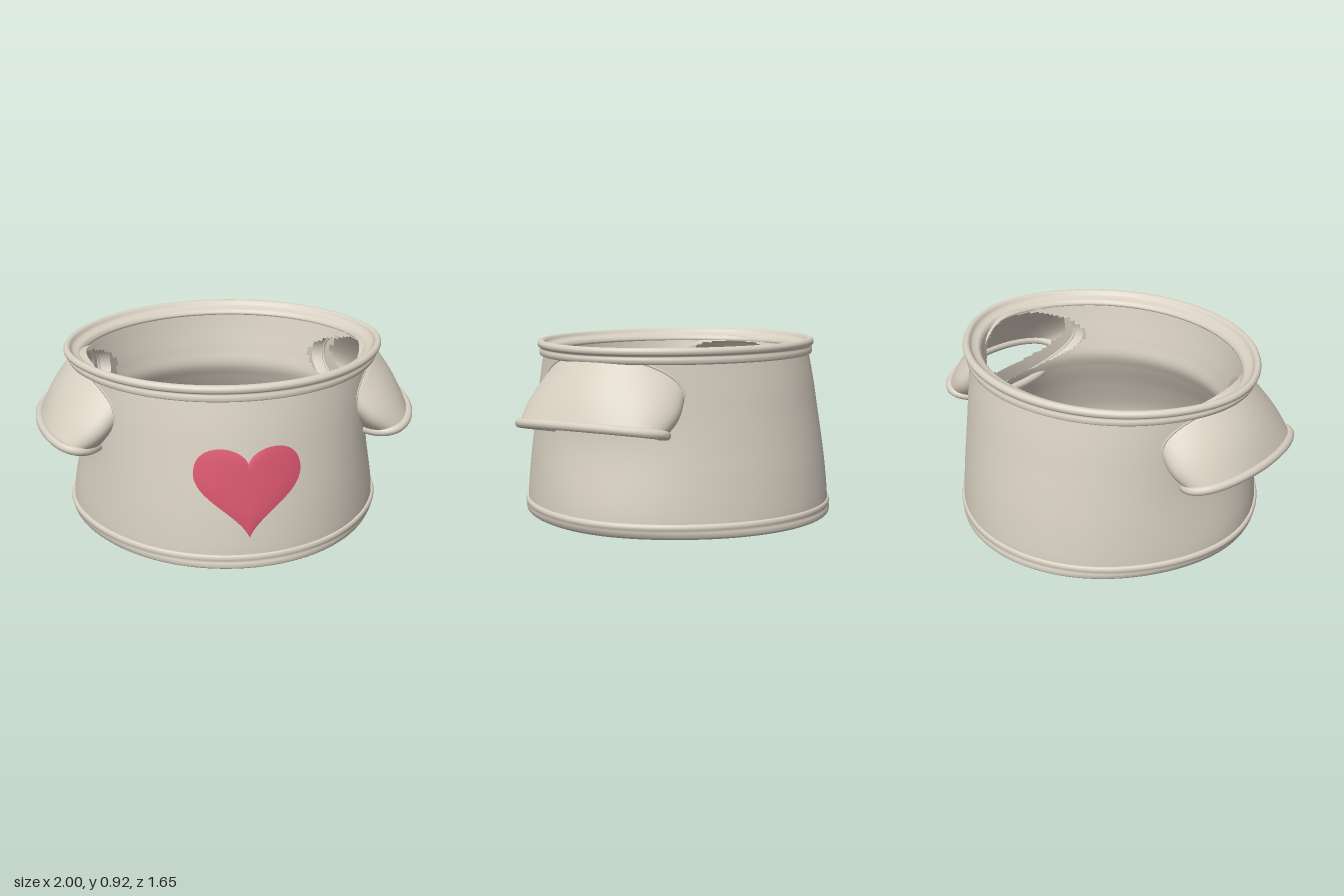
import * as THREE from 'three';

const cloth = new THREE.MeshStandardMaterial({ color: 0xd8d0c2, side: THREE.DoubleSide });
cloth.name = 'stone cloth';
const red = new THREE.MeshStandardMaterial({ color: 0xd9566e, side: THREE.DoubleSide });
red.name = 'heart red';

const SEG = 144;
const V = (x, y, z) => new THREE.Vector3(x, y, z);

// Skin a list of closed rings; cells whose centre passes skip() are left open
function loft(rings, skip = () => false) {
  const n = rings[0].length, index = [];
  for (let r = 0; r < rings.length - 1; r++) {
    for (let i = 0; i < n; i++) {
      const j = (i + 1) % n;
      const c = rings[r][i].clone().add(rings[r + 1][j]).multiplyScalar(0.5);
      if (skip(c)) continue;
      const a = r * n + i, b = r * n + j, d = a + n, e = b + n;
      index.push(a, b, d, b, e, d);
    }
  }
  const g = new THREE.BufferGeometry().setFromPoints(rings.flat());
  g.setIndex(index);
  g.computeVertexNormals();
  return g;
}

// The cloth is pinched in under the sleeves and pulled out at collar and hem
const pull = (y) => 0.006 + 0.028 * Math.cos((Math.PI * (y - 0.05)) / 0.44);
const sideX = (s, rx, y) => s * rx * (1 + pull(y) * s ** 8);

// Ring around the y axis
function ring(rx, y, rz) {
  return Array.from({ length: SEG }, (_, i) => {
    const a = (i / SEG) * Math.PI * 2;
    return V(sideX(Math.sin(a), rx, y), y, rz * Math.cos(a));
  });
}

// Sweep a smooth profile of [rx, y, rz] points round the y axis
function sweep(profile, steps, skip, closed = false) {
  const curve = new THREE.CatmullRomCurve3(profile.map((p) => V(...p)), closed);
  return loft(curve.getPoints(steps).map((p) => ring(p.x, p.y, p.z)), skip);
}

// Outer wall profile, and the wall's half-widths at a given height
const WALL = [
  [0.79, 0.03, 0.815], [0.788, 0.12, 0.81], [0.782, 0.28, 0.792], [0.776, 0.42, 0.77],
  [0.772, 0.55, 0.747], [0.768, 0.7, 0.72], [0.765, 0.89, 0.677],
];
function wallAt(y) {
  let k = 0;
  while (k < WALL.length - 2 && WALL[k + 1][1] < y) k++;
  const [a, b] = [WALL[k], WALL[k + 1]];
  const t = THREE.MathUtils.clamp((y - a[1]) / (b[1] - a[1]), 0, 1);
  return [a[0] + (b[0] - a[0]) * t, a[2] + (b[2] - a[2]) * t];
}

const armhole = (c) =>
  Math.abs(c.x) > 0.4 && ((c.z - 0.02) / 0.37) ** 2 + ((c.y - 0.705) / 0.155) ** 2 < 1;

// Cuff edge: a tilted ellipse; t = 0 is the outer side
const cuffPoint = (t) =>
  V(0.805 + 0.172 * Math.cos(t), 0.525 + 0.036 * Math.cos(t), 0.032 + 0.405 * Math.sin(t));

// Seam where the sleeve joins the wall, set in by a small depth
function seamPoint(t, depth) {
  const y = 0.69 + 0.195 * Math.cos(t), z = 0.02 + 0.41 * Math.sin(t);
  const [rx, rz] = wallAt(y);
  const x = sideX(Math.sqrt(1 - (z / rz) ** 2), rx, y);
  return V(x - depth - 0.05 * Math.max(0, -Math.cos(t)), y, z);
}

function sleeveGeometry() {
  const N = 80, rings = [];
  const ts = Array.from({ length: N }, (_, i) => (i / N) * Math.PI * 2);
  rings.push(ts.map((t) => seamPoint(t, 0.07)));
  for (let s = 0; s <= 12; s++) {
    const u = s / 12;
    rings.push(ts.map((t) => {
      const p = seamPoint(t, 0.006).lerp(cuffPoint(t), u);
      const bulge = 0.02 * Math.sin(u * Math.PI);
      p.x += bulge * Math.max(0, Math.cos(t));
      p.z += bulge * Math.sin(t);
      return p;
    }));
  }
  return loft(rings);
}

// Heart plate laid on the curved front
function heartGeometry() {
  const outline = new THREE.Shape();
  outline.moveTo(0, 0.54);
  outline.bezierCurveTo(0.04, 0.64, 0.27, 0.66, 0.265, 0.48);
  outline.bezierCurveTo(0.255, 0.36, 0.06, 0.3, 0, 0.17);
  outline.bezierCurveTo(-0.06, 0.3, -0.255, 0.36, -0.265, 0.48);
  outline.bezierCurveTo(-0.27, 0.66, -0.04, 0.64, 0, 0.54);
  const pts = outline.getPoints(20).slice(0, -1).reverse();
  const rings = [];
  for (let s = 10; s >= 0; s--) {
    const u = s / 10;
    rings.push(pts.map((p) => {
      const x = p.x * u, y = 0.43 + (p.y - 0.43) * u;
      const [rx, rz] = wallAt(y);
      return V(x, y, rz * Math.sqrt(1 - (x / rx) ** 2) + 0.003 + 0.006 * (1 - u ** 6));
    }));
  }
  return loft(rings);
}

export function createModel() {
  const model = new THREE.Group();
  model.name = 'shirt';
  const add = (name, geometry, material, parent = model) => {
    const mesh = new THREE.Mesh(geometry, material);
    mesh.name = name;
    parent.add(mesh);
  };

  // Outer wall and lining, both open at the armholes
  add('body', sweep(WALL, 72, armhole), cloth);
  add('lining', sweep([
    [0.725, 0.87, 0.612], [0.7, 0.78, 0.598], [0.668, 0.66, 0.576], [0.65, 0.57, 0.566],
    [0.668, 0.48, 0.605], [0.715, 0.32, 0.69], [0.755, 0.14, 0.768], [0.762, 0.05, 0.78],
  ], 72, armhole), cloth);

  // Collar: two outer rolls, a thin rim and a sloping inner band
  add('collar', sweep([
    [0.765, 0.842, 0.69], [0.785, 0.846, 0.703], [0.792, 0.864, 0.705], [0.788, 0.882, 0.7],
    [0.806, 0.892, 0.708], [0.81, 0.908, 0.71], [0.8, 0.923, 0.698], [0.782, 0.921, 0.676],
    [0.768, 0.902, 0.66], [0.752, 0.893, 0.64], [0.732, 0.885, 0.617], [0.72, 0.865, 0.606],
    [0.728, 0.848, 0.625],
  ], 64, undefined, true), cloth);

  // Hem: a softly rolled band
  add('hem', sweep([
    [0.785, 0.08, 0.80], [0.8, 0.077, 0.818], [0.805, 0.063, 0.823], [0.8, 0.046, 0.821],
    [0.796, 0.03, 0.825], [0.785, 0.01, 0.822], [0.77, 0.002, 0.80], [0.755, 0.015, 0.78],
    [0.755, 0.05, 0.775], [0.768, 0.075, 0.785],
  ], 56, undefined, true), cloth);

  // Sleeves with rolled cuffs and a raised stitch line
  const sleeve = sleeveGeometry();
  const tube = (f, radius, sides) => {
    const pts = Array.from({ length: 32 }, (_, i) => f((i / 32) * Math.PI * 2));
    return new THREE.TubeGeometry(new THREE.CatmullRomCurve3(pts, true), 96, radius, sides, true);
  };
  const cuff = tube(cuffPoint, 0.023, 10);
  const seam = tube((t) => seamPoint(t, 0.004), 0.008, 6);
  for (const [side, turn] of [['left', 1], ['right', -1]]) {
    const arm = new THREE.Group();
    arm.name = side + 'Sleeve';
    arm.scale.x = turn;
    add(side + 'SleeveCloth', sleeve, cloth, arm);
    add(side + 'Cuff', cuff, cloth, arm);
    add(side + 'SleeveSeam', seam, cloth, arm);
    model.add(arm);
  }

  add('heart', heartGeometry(), red);
  return model;
}
